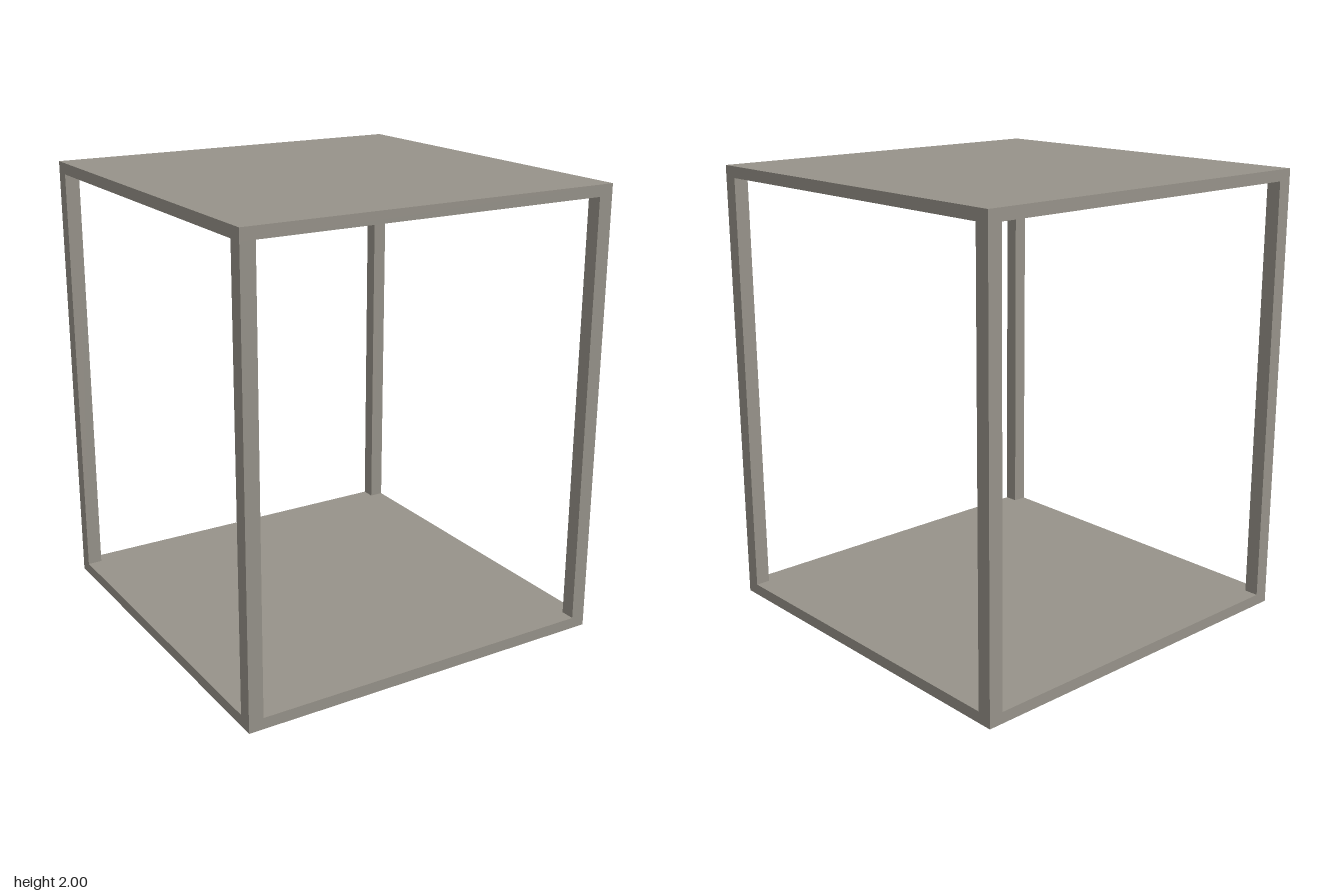
import * as THREE from 'three';

const HEIGHT = 2;
const WIDTH = 1.71;
const SLAB = 0.05;
const POST = 0.065;

export function createModel() {
  const model = new THREE.Group();
  model.name = 'openFrameStand';
  const material = new THREE.MeshStandardMaterial({ color: 0x97938a });
  material.name = 'warm grey';

  const addBox = (name, w, h, d, x, y, z) => {
    const mesh = new THREE.Mesh(new THREE.BoxGeometry(w, h, d), material);
    mesh.name = name;
    mesh.position.set(x, y, z);
    model.add(mesh);
  };

  // Bottom and top slabs
  addBox('bottomSlab', WIDTH, SLAB, WIDTH, 0, SLAB / 2, 0);
  addBox('topSlab', WIDTH, SLAB, WIDTH, 0, HEIGHT - SLAB / 2, 0);

  // Square corner posts, flush with the slab edges
  const offset = (WIDTH - POST) / 2;
  for (const [side, sx] of [['Left', 1], ['Right', -1]]) {
    for (const [end, sz] of [['front', 1], ['back', -1]]) {
      addBox(`${end}${side}Post`, POST, HEIGHT - 2 * SLAB, POST, sx * offset, HEIGHT / 2, sz * offset);
    }
  }
  return model;
}
